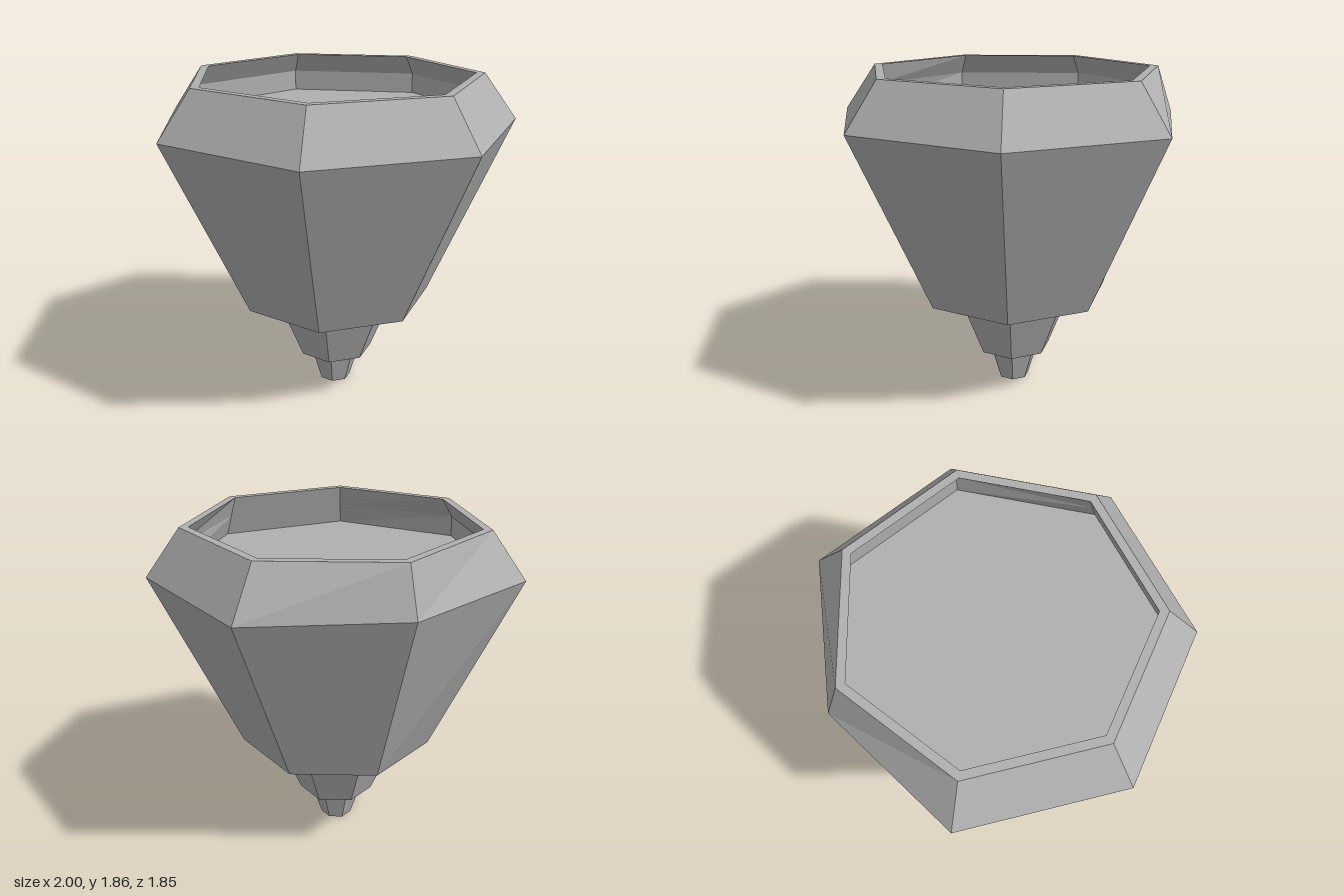
import * as THREE from 'three';

const SIDES = 7;
const CENTRE_Z = 0.05;

const grey = new THREE.MeshStandardMaterial({ color: 0xb0b0b0 });
grey.name = 'stoneGrey';

// One seven-sided ring with a corner at the back; radius may vary per corner.
function ring(y, radius) {
  return Array.from({ length: SIDES }, (_, i) => {
    const a = Math.PI + (i * 2 * Math.PI) / SIDES;
    const r = typeof radius === 'function' ? radius(i) : radius;
    return [r * Math.sin(a), y, CENTRE_Z + r * Math.cos(a)];
  });
}

// Joins successive rings into flat facets (bottom outside to top or inside).
function loft(name, rings) {
  const pos = [];
  for (let k = 0; k + 1 < rings.length; k++) {
    const a = rings[k], b = rings[k + 1];
    for (let i = 0; i < SIDES; i++) {
      const j = (i + 1) % SIDES;
      pos.push(...a[i], ...a[j], ...b[j], ...a[i], ...b[j], ...b[i]);
    }
  }
  const geometry = new THREE.BufferGeometry();
  geometry.setAttribute('position', new THREE.Float32BufferAttribute(pos, 3));
  geometry.computeVertexNormals();
  const mesh = new THREE.Mesh(geometry, grey);
  mesh.name = name;
  return mesh;
}

// Flat seven-sided plate facing up or down.
function plate(name, y, radius, up) {
  const pos = [];
  const r = ring(y, radius);
  for (let i = 0; i < SIDES; i++) {
    const p = r[i], q = r[(i + 1) % SIDES], c = [0, y, CENTRE_Z];
    pos.push(...c, ...(up ? p : q), ...(up ? q : p));
  }
  const geometry = new THREE.BufferGeometry();
  geometry.setAttribute('position', new THREE.Float32BufferAttribute(pos, 3));
  geometry.computeVertexNormals();
  const mesh = new THREE.Mesh(geometry, grey);
  mesh.name = name;
  return mesh;
}

export function createModel() {
  const model = new THREE.Group();
  model.name = 'facetedPot';

  // Tapered tiers, each with a flat underside
  const tiers = [
    ['foot', 0, 0.092, 0.2, 0.153],
    ['stem', 0.2, 0.22, 0.565, 0.369],
  ];
  for (const [name, y0, r0, y1, r1] of tiers) {
    model.add(loft(name, [ring(y0, r0), ring(y1, r1)]));
    model.add(plate(name + 'Underside', y0, r0, false));
  }

  // Bowl: the widest ring has its back corner pulled in
  const girdle = ring(1.6, (i) => (i === 0 ? 0.925 : 1.026));
  model.add(loft('bowl', [ring(0.565, 0.555), girdle]));
  model.add(plate('bowlUnderside', 0.565, 0.555, false));
  model.add(loft('shoulder', [girdle, ring(1.86, 0.835)]));
  model.add(loft('rim', [ring(1.86, 0.835), ring(1.86, 0.785)]));

  // Overhanging inner wall, steeper below at the back and sides
  const inner = (i) => (i === 3 || i === 4 ? 0.827 : 0.866);
  model.add(loft('innerWall', [ring(1.86, 0.785), ring(1.745, inner), ring(1.625, 0.87)]));
  model.add(plate('floor', 1.625, 0.87, true));

  return model;
}
